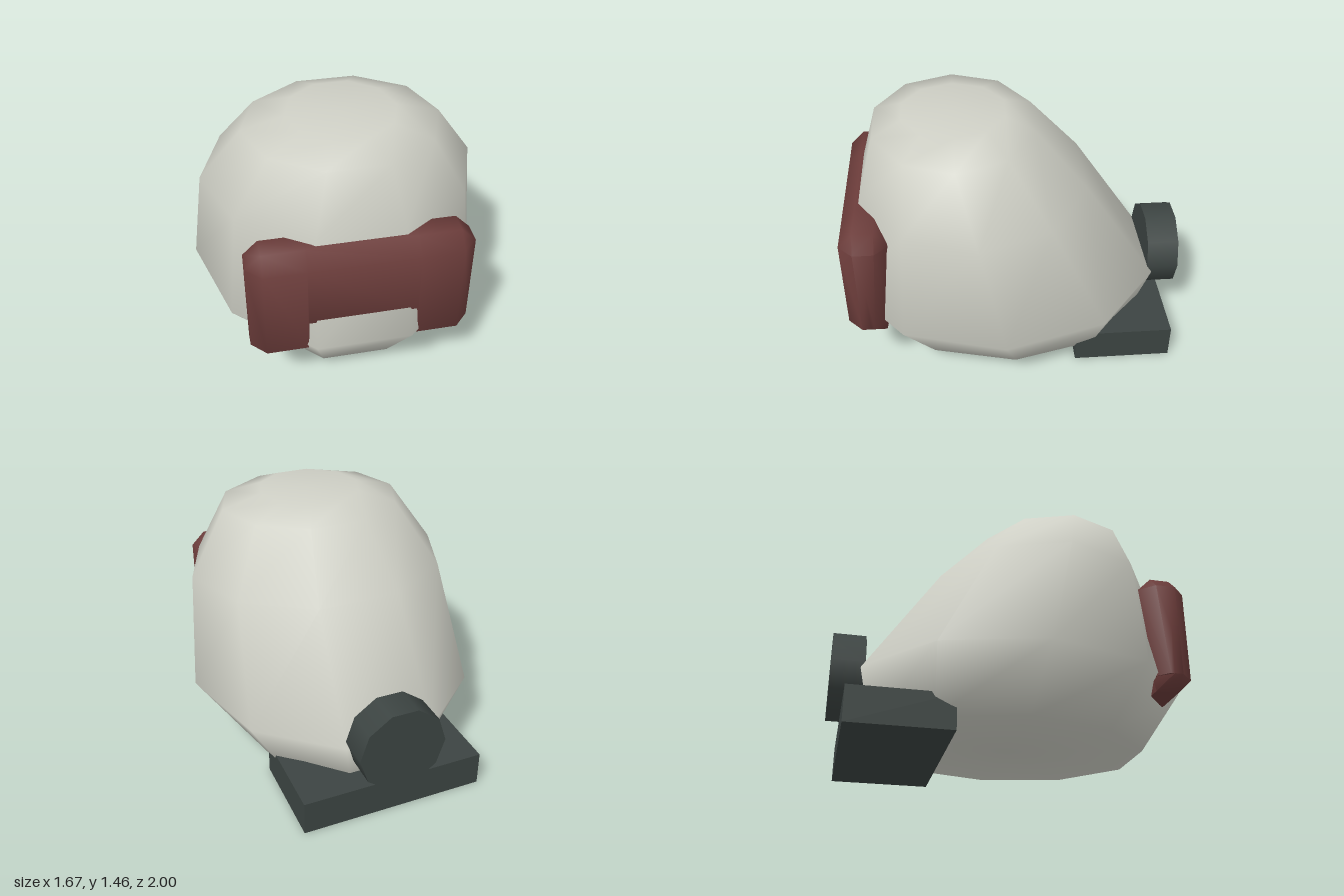
import * as THREE from 'three';
import { toCreasedNormals } from 'three/addons/utils/BufferGeometryUtils.js';

// Closed skin over a list of rings with equal point counts
function loft(rings) {
  const n = rings[0].length, last = rings.length - 1;
  const positions = rings.flat(2), index = [];
  for (let i = 0; i < last; i++) {
    for (let j = 0; j < n; j++) {
      const k = (j + 1) % n;
      const a = i * n + j, b = i * n + k, c = a + n, d = b + n;
      index.push(a, c, b, b, c, d);
    }
  }
  // End caps, fanned from their centres
  for (const i of [0, last]) {
    const centre = positions.length / 3;
    for (let axis = 0; axis < 3; axis++) {
      positions.push(rings[i].reduce((sum, p) => sum + p[axis], 0) / n);
    }
    for (let j = 0; j < n; j++) {
      const a = i * n + j, b = i * n + (j + 1) % n;
      if (i === 0) index.push(centre, a, b);
      else index.push(centre, b, a);
    }
  }
  const geometry = new THREE.BufferGeometry();
  geometry.setAttribute('position', new THREE.Float32BufferAttribute(positions, 3));
  geometry.setIndex(index);
  geometry.computeVertexNormals();
  return geometry;
}

// Ten-sided horizontal ring from its half width and its front and back limits
function shellRing([y, halfWidth, front, back]) {
  const cz = (front + back) / 2;
  const rz = (front - back) / 2 / Math.sin(Math.PI * 0.4);
  return Array.from({ length: 10 }, (_, i) => {
    const a = i * Math.PI / 5;
    return [halfWidth * Math.cos(a), y, cz + rz * Math.sin(a)];
  });
}

// Chamfered visor section at x; inset = 0.08 collapses the chamfers for the ends
function visorRing(x, bottom, inset) {
  const c = 0.08, f = 0.96, t = 1.02;
  const bTop = 0.685, bLow = 0.73;
  return [
    [x, t - c, f - inset],
    [x, t - inset, f - c],
    [x, t - inset, bTop + c],
    [x, t - c, bTop + inset],
    [x, bottom + c, bLow + inset],
    [x, bottom + inset, bLow + 0.02 + inset],
    [x, bottom + inset, f - c],
    [x, bottom + c, f - inset],
  ];
}

export function createModel() {
  const model = new THREE.Group();
  const add = (name, geometry, color) => {
    const mesh = new THREE.Mesh(geometry, new THREE.MeshStandardMaterial({ color }));
    mesh.name = name;
    model.add(mesh);
    return mesh;
  };
  const dark = 0x3c4442;

  // Helmet shell: y, half width, front z, back z
  add('helmetShell', loft([
    [0.085, 0.60, 0.78, -0.757],
    [0.42, 0.835, 1.0, -0.84],
    [1.05, 0.765, 0.855, -0.42],
    [1.39, 0.535, 0.76, -0.13],
    [1.455, 0.30, 0.60, 0.03],
  ].map(shellRing)), 0xcfd0c6);

  // Visor with a notch in the middle of its lower edge
  const low = 0.32, notch = 0.5;
  add('visor', toCreasedNormals(loft([
    visorRing(-0.6, low, 0.08),
    visorRing(-0.52, low, 0),
    visorRing(-0.297, low, 0),
    visorRing(-0.293, notch, 0),
    visorRing(0.293, notch, 0),
    visorRing(0.297, low, 0),
    visorRing(0.52, low, 0),
    visorRing(0.6, low, 0.08),
  ]), Math.PI / 3), 0x6b3c3a);

  // Neck block under the back of the shell
  add('neckBlock', new THREE.BoxGeometry(1.07, 0.2, 0.57), dark).position.set(0, 0.1, -0.64);

  // Round cap at the back
  const cap = new THREE.CylinderGeometry(0.25, 0.25, 0.185, 10, 1, false, Math.PI / 2);
  cap.rotateX(Math.PI / 2);
  add('rearCap', cap, dark).position.set(0, 0.453, -0.9075);

  return model;
}
